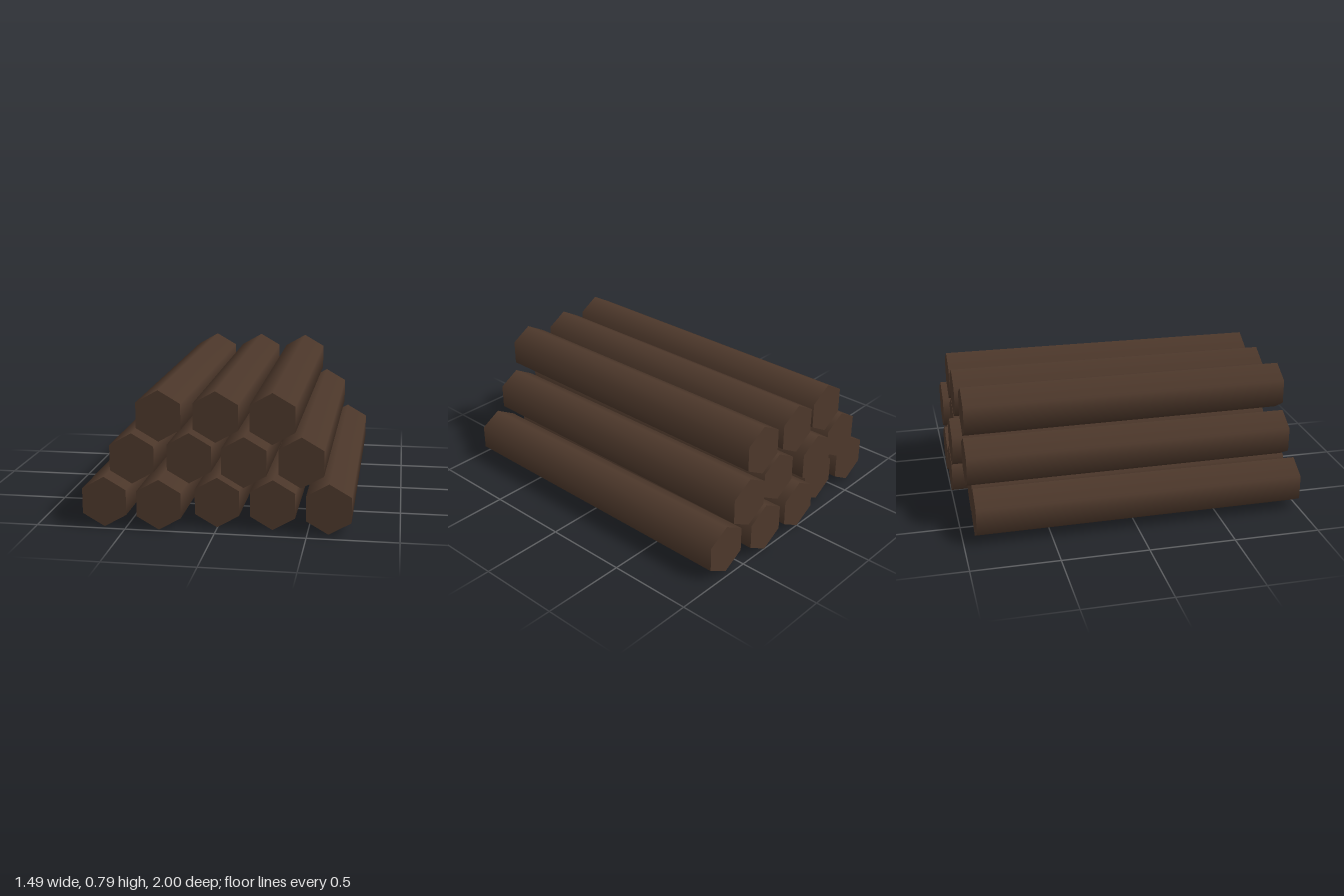
import * as THREE from 'three';

export function createModel() {
  const group = new THREE.Group();
  group.name = 'logPile';
  const bark = new THREE.MeshStandardMaterial({ color: 0x4d382b });
  bark.name = 'darkBrownBark';

  // Six-sided log lying along z, slightly thinner at the front
  const log = new THREE.CylinderGeometry(0.142, 0.149, 1.915, 6);
  log.rotateX(Math.PI / 2);

  // Each row from bottom to top: lengthwise shift of each log, left to right along x
  const rows = [
    [0.03, 0.0425, -0.0425, -0.0415, -0.011],
    [0.006, -0.0425, -0.002, -0.039],
    [0.017, -0.003, -0.003],
  ];
  const spacing = 0.308;
  const rowHeight = 0.2455;

  rows.forEach((shifts, row) => {
    shifts.forEach((z, i) => {
      const mesh = new THREE.Mesh(log, bark);
      mesh.name = `log_row${row + 1}_${i + 1}`;
      mesh.position.set((i - (shifts.length - 1) / 2) * spacing, 0.151 + row * rowHeight, z);
      group.add(mesh);
    });
  });
  return group;
}
